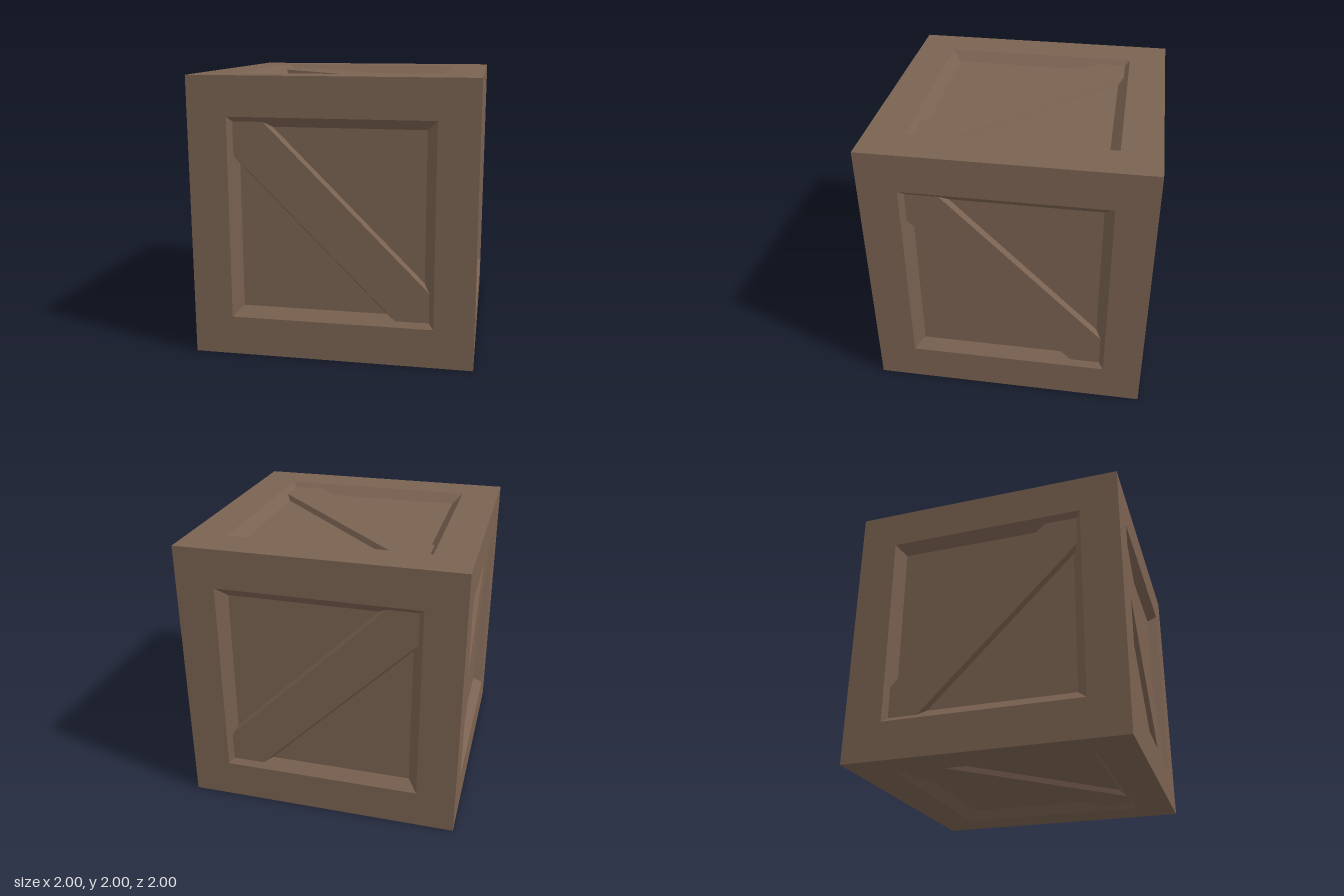
import * as THREE from 'three';

const OPENING = 0.72;  // half width of the opening in each frame
const DEPTH = 0.07;    // panel recess, with 45 degree bevels
const BRACE_DEPTH = 0.034;

// Square frame, bevel and sunken panel as a four-sided lathe, facing +z
function profileGeometry(points) {
  const profile = points.map(([r, y]) => new THREE.Vector2(r * Math.SQRT2, y));
  const g = new THREE.LatheGeometry(profile, 4, Math.PI / 4).toNonIndexed();
  g.rotateX(Math.PI / 2);
  g.computeVertexNormals();
  return g;
}

// Outline of the diagonal band u + v = shift +/- half, clipped to a square
function bandOutline(a, half, shift, mirror, z) {
  const lo = shift - half, hi = shift + half;
  const pts = [[-a, a], [-a, lo + a], [lo + a, -a], [a, -a], [a, hi - a], [hi - a, a]];
  return pts.flatMap(([u, v]) => [mirror ? -u : u, v, z]);
}

// Diagonal plank with sloping long sides; its ends meet the frame bevel
function braceGeometry(shift, mirror) {
  const g = new THREE.BufferGeometry();
  const pos = [
    ...bandOutline(OPENING - BRACE_DEPTH, 0.225, shift, mirror, -BRACE_DEPTH),
    ...bandOutline(OPENING - DEPTH, 0.25, shift, mirror, -DEPTH),
  ];
  const index = [];
  for (let i = 1; i < 5; i++) index.push(0, i, i + 1);
  for (const i of [1, 4]) index.push(i, i + 6, i + 7, i, i + 7, i + 1);
  if (mirror) index.reverse();
  g.setAttribute('position', new THREE.Float32BufferAttribute(pos, 3));
  g.setIndex(index);
  const flat = g.toNonIndexed();
  flat.computeVertexNormals();
  return flat;
}

export function createModel() {
  const crate = new THREE.Group();
  crate.name = 'crate';
  const wood = new THREE.MeshStandardMaterial({ color: 0x7a6251 });
  wood.name = 'brown wood';

  const frame = profileGeometry([[1, 0], [OPENING, 0], [OPENING - DEPTH, -DEPTH]]);
  const panel = profileGeometry([[OPENING - DEPTH, -DEPTH], [0, -DEPTH]]);
  const q = Math.PI / 2;

  // name, x turn, y turn, brace shift, mirrored brace
  const sides = [
    ['front', 0, 0, -0.01, false],
    ['back', 0, 2 * q, -0.01, true],
    ['left', 0, q, 0.01, false],
    ['right', 0, -q, 0.01, true],
    ['top', -q, 0, 0, false],
    ['bottom', q, 0, 0, true],
  ];
  for (const [name, rx, ry, shift, mirror] of sides) {
    const side = new THREE.Group();
    side.name = name + 'Side';
    const parts = { Frame: frame, Panel: panel, Brace: braceGeometry(shift, mirror) };
    for (const [part, geometry] of Object.entries(parts)) {
      const mesh = new THREE.Mesh(geometry, wood);
      mesh.name = name + part;
      side.add(mesh);
    }
    side.rotation.set(rx, ry, 0);
    side.position.set(0, 0, 1).applyEuler(side.rotation);
    side.position.y += 1;
    crate.add(side);
  }
  return crate;
}
